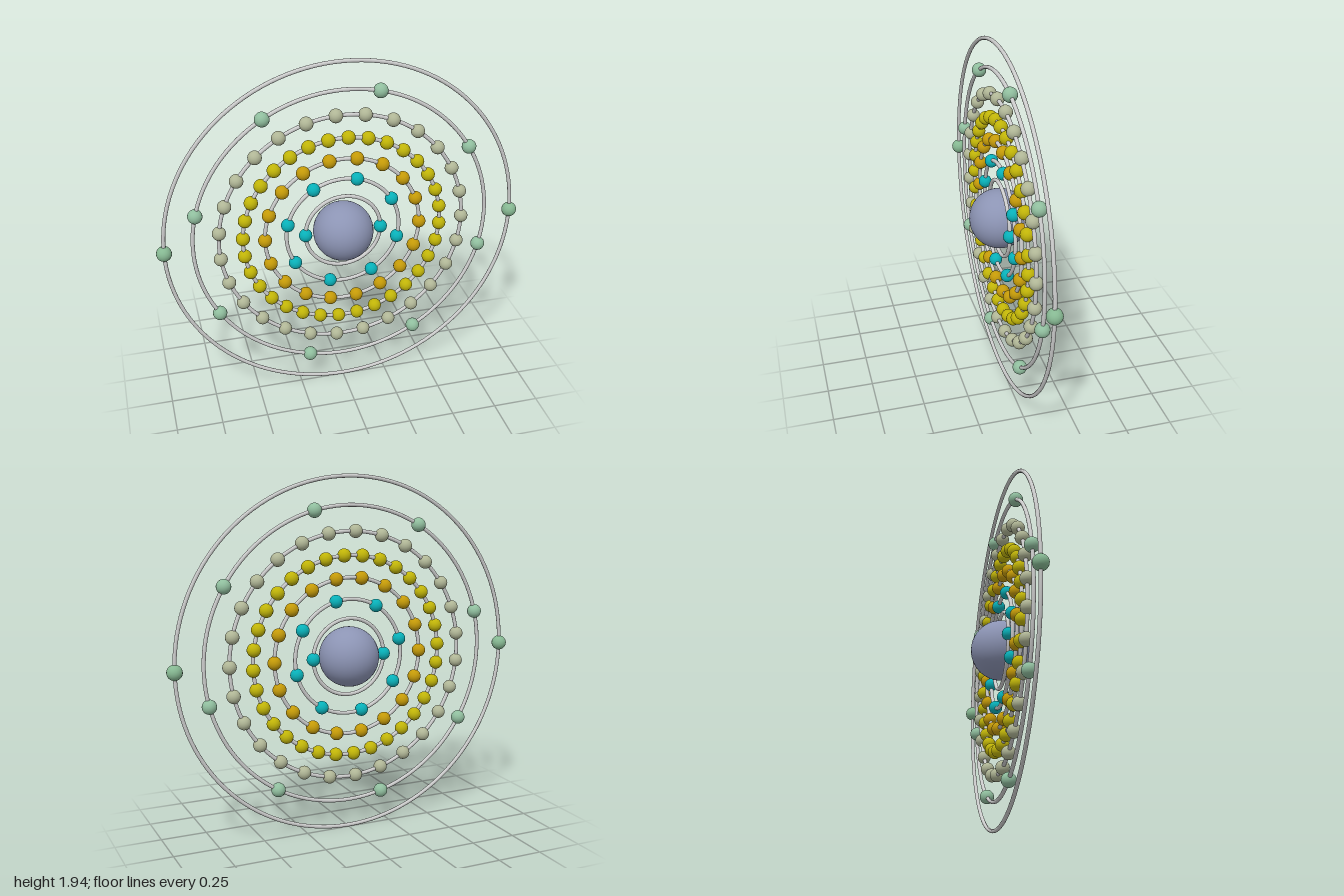
import * as THREE from 'three';

const CENTER_Y = 0.97;
const TUBE = 0.0105;

// One entry per shell: ring radius, bead count, first bead angle (degrees), bead radius, colour
const SHELLS = [
  { radius: 0.208, count: 2, start: 0, bead: 0.036, color: 0x08b0b8 },
  { radius: 0.312, count: 8, start: 31, bead: 0.036, color: 0x08b0b8 },
  { radius: 0.428, count: 18, start: 0, bead: 0.037, color: 0xc49a08 },
  { radius: 0.546, count: 32, start: -2.9, bead: 0.037, color: 0xc0b408 },
  { radius: 0.673, count: 27, start: 0, bead: 0.037, color: 0xb0b696 },
  { radius: 0.809, count: 8, start: 31, bead: 0.039, color: 0x90be9e },
  { radius: 0.959, count: 2, start: 0, bead: 0.041, color: 0x86b892 },
];

function addMesh(parent, name, geometry, material) {
  const mesh = new THREE.Mesh(geometry, material);
  mesh.name = name;
  parent.add(mesh);
  return mesh;
}

export function createModel() {
  const model = new THREE.Group();
  model.name = 'atomModel';

  const atom = new THREE.Group();
  atom.name = 'atom';
  atom.position.y = CENTER_Y;
  model.add(atom);

  // Central ball
  addMesh(atom, 'nucleus', new THREE.SphereGeometry(0.163, 32, 24),
    new THREE.MeshStandardMaterial({ color: 0x8c94b4 }));

  const ringMaterial = new THREE.MeshStandardMaterial({ color: 0xcccccc });

  // Concentric rings in the x-y plane, each carrying evenly spaced beads
  SHELLS.forEach(({ radius, count, start, bead, color }, i) => {
    const shell = new THREE.Group();
    shell.name = `shell${i + 1}`;
    atom.add(shell);

    addMesh(shell, 'orbitRing', new THREE.TorusGeometry(radius, TUBE, 12, 128), ringMaterial);

    const beadGeometry = new THREE.SphereGeometry(bead, 20, 14);
    const beadMaterial = new THREE.MeshStandardMaterial({ color });
    for (let k = 0; k < count; k++) {
      const angle = THREE.MathUtils.degToRad(start + (k * 360) / count);
      addMesh(shell, 'electron', beadGeometry, beadMaterial)
        .position.set(radius * Math.cos(angle), radius * Math.sin(angle), 0);
    }
  });

  return model;
}
